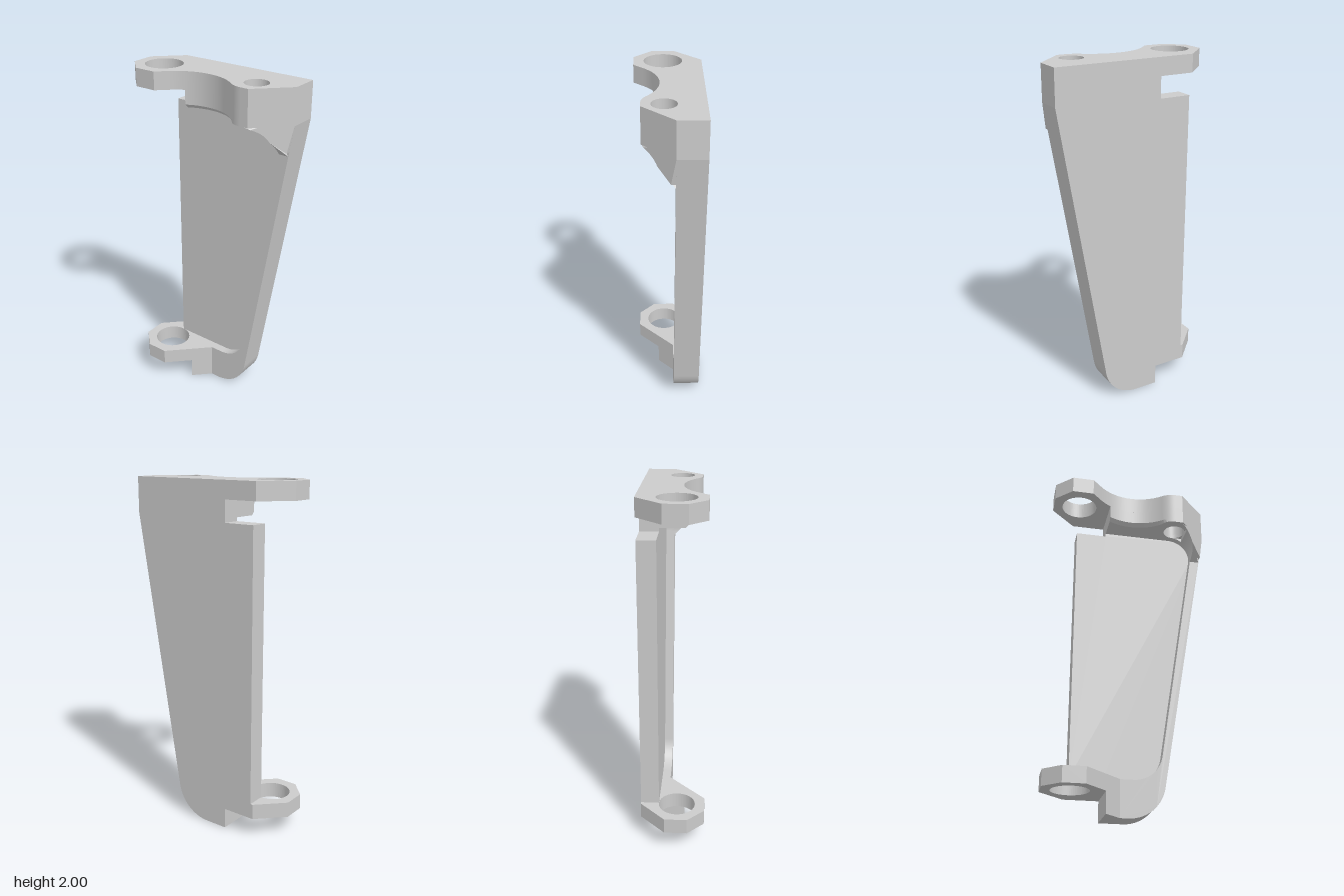
import * as THREE from 'three';

const material = new THREE.MeshStandardMaterial({ color: 0xcccccc });
const HALF = Math.PI / 2;
const TILT = -0.167; // lean of the sloping side
const BACK = -0.185, PANEL = -0.08, RIM = -0.03;
const LEFT = -0.137; // end of the block and of the foot

function circle(x, z, r) {
  return new THREE.Path().absarc(x, z, r, 0, Math.PI * 2, false);
}

// Plan outline (x, z) turned into a horizontal slab from y0 to y1
function slab(shape, y0, y1) {
  return new THREE.ExtrudeGeometry(shape, { depth: y1 - y0, bevelEnabled: false, curveSegments: 32 })
    .rotateX(HALF).translate(0, y1, 0);
}

// Front outline (x, y) turned into a plate from z0 to z1
function plate(shape, z0, z1) {
  return new THREE.ExtrudeGeometry(shape, { depth: z1 - z0, bevelEnabled: false, curveSegments: 24 })
    .translate(0, 0, z0);
}

// Plate whose front is cut by the 45 degree underside and the 45 degree corner
function bevelledPlate(shape, z0) {
  const geometry = plate(shape, z0, 0.2);
  const p = geometry.attributes.position;
  for (let i = 0; i < p.count; i++) {
    if (p.getZ(i) > 0.19) {
      p.setZ(i, Math.max(z0, Math.min(p.getY(i) - 1.66, 0.45 - p.getX(i))));
    }
  }
  geometry.computeVertexNormals();
  return geometry;
}

function polygon(points) {
  return new THREE.Shape(points.map(([x, y]) => new THREE.Vector2(x, y)));
}

// Scooped front edge, rounded small boss and straight right end of the top plate
function scoopedEdge(shape, startAngle) {
  shape.absarc(0, 0.335, 0.29, startAngle, -0.882, false);
  shape.absarc(0.265, 0.013, 0.127, 2.26, HALF, true);
  shape.lineTo(0.31, 0.14);
  shape.lineTo(0.48, -0.03);
  shape.lineTo(0.48, BACK);
  shape.closePath();
  shape.holes.push(circle(0.282, 0.025, 0.066));
  return shape;
}

export function createModel() {
  const group = new THREE.Group();
  const add = (name, geometry) => {
    const mesh = new THREE.Mesh(geometry, material);
    mesh.name = name;
    group.add(mesh);
  };

  // Eight-sided ear shared by the upper and lower hinge plates
  const ear = [[-0.335, BACK], [-0.48, -0.04], [-0.48, 0.09], [-0.385, 0.185], [-0.26, 0.185]];
  const earHole = circle(-0.323, 0.025, 0.105);

  // Upper hinge plate
  const top = scoopedEdge(polygon(ear), -0.75 * Math.PI);
  top.holes.push(earHole);
  add('topPlate', slab(top, 1.9, 2));

  // Thick block below the upper plate, with a small bevel under the scoop
  const block = scoopedEdge(
    new THREE.Shape().moveTo(LEFT, BACK).lineTo(LEFT, 0.079), Math.atan2(-0.256, LEFT));
  add('topBlock', slab(block, 1.82, 1.9));
  const lip = slab(block, 1.8, 1.82);
  const p = lip.attributes.position;
  for (let i = 0; i < p.count; i++) {
    if (p.getY(i) < 1.81 && p.getZ(i) > 0.03) {
      p.setZ(i, p.getZ(i) - 0.02 * THREE.MathUtils.clamp((0.21 - p.getX(i)) / 0.04, 0, 1));
    }
  }
  lip.computeVertexNormals();
  add('blockLip', lip);

  // Lower hinge plate and its foot
  const lower = polygon([...ear, [-0.045, RIM], [-0.045, BACK]]);
  lower.holes.push(earHole);
  add('bottomPlate', slab(lower, 0.12, 0.21));
  add('foot', slab(polygon([[LEFT, BACK], [LEFT, 0.062], [-0.045, RIM], [-0.045, BACK]]), 0, 0.12));

  // Thin back panel
  const panel = new THREE.Shape().moveTo(LEFT, 0).lineTo(0, 0);
  panel.absarc(0, 0.21, 0.21, -HALF, TILT, false);
  panel.lineTo(0.48, 1.8).lineTo(LEFT, 1.8).lineTo(LEFT, 1.78);
  panel.lineTo(-0.32, 1.78).lineTo(-0.32, 0.21).lineTo(LEFT, 0.21);
  add('backPanel', plate(panel, BACK, PANEL));

  // Raised rim along the bottom and the sloping side
  const rim = new THREE.Shape().moveTo(-0.045, 0).lineTo(0, 0);
  rim.absarc(0, 0.21, 0.21, -HALF, TILT, false);
  rim.lineTo(0.48, 1.8).lineTo(0.345, 1.8);
  rim.absarc(0.27, 1.67, 0.13, 0.955, TILT, true);
  rim.absarc(0.03, 0.375, 0.165, TILT, -HALF, true);
  rim.lineTo(-0.045, 0.21);
  add('rim', plate(rim, PANEL, RIM));

  // Rounded recess corner, left open where the small hole passes through
  const corner = new THREE.Shape().moveTo(0.345, 1.8).lineTo(0.27, 1.8);
  corner.absarc(0.27, 1.67, 0.13, HALF, 0.955, true);
  add('cornerBack', plate(corner, PANEL, -0.041));
  add('cornerFront', bevelledPlate(corner, 0.091));

  // Gusset joining the rim to the block, split along its ridge
  const gussetTop = new THREE.Shape().moveTo(0.48, 1.8).lineTo(0.345, 1.8);
  gussetTop.absarc(0.27, 1.67, 0.13, 0.955, 0.396, true);
  gussetTop.lineTo(0.455, 1.655);
  add('gussetTop', bevelledPlate(gussetTop, RIM));
  const gussetTip = new THREE.Shape().moveTo(0.455, 1.655);
  gussetTip.absarc(0.27, 1.67, 0.13, 0.396, TILT, true);
  gussetTip.lineTo(0.395, 1.63).lineTo(0.451, 1.63);
  add('gussetTip', bevelledPlate(gussetTip, RIM));

  return group;
}
